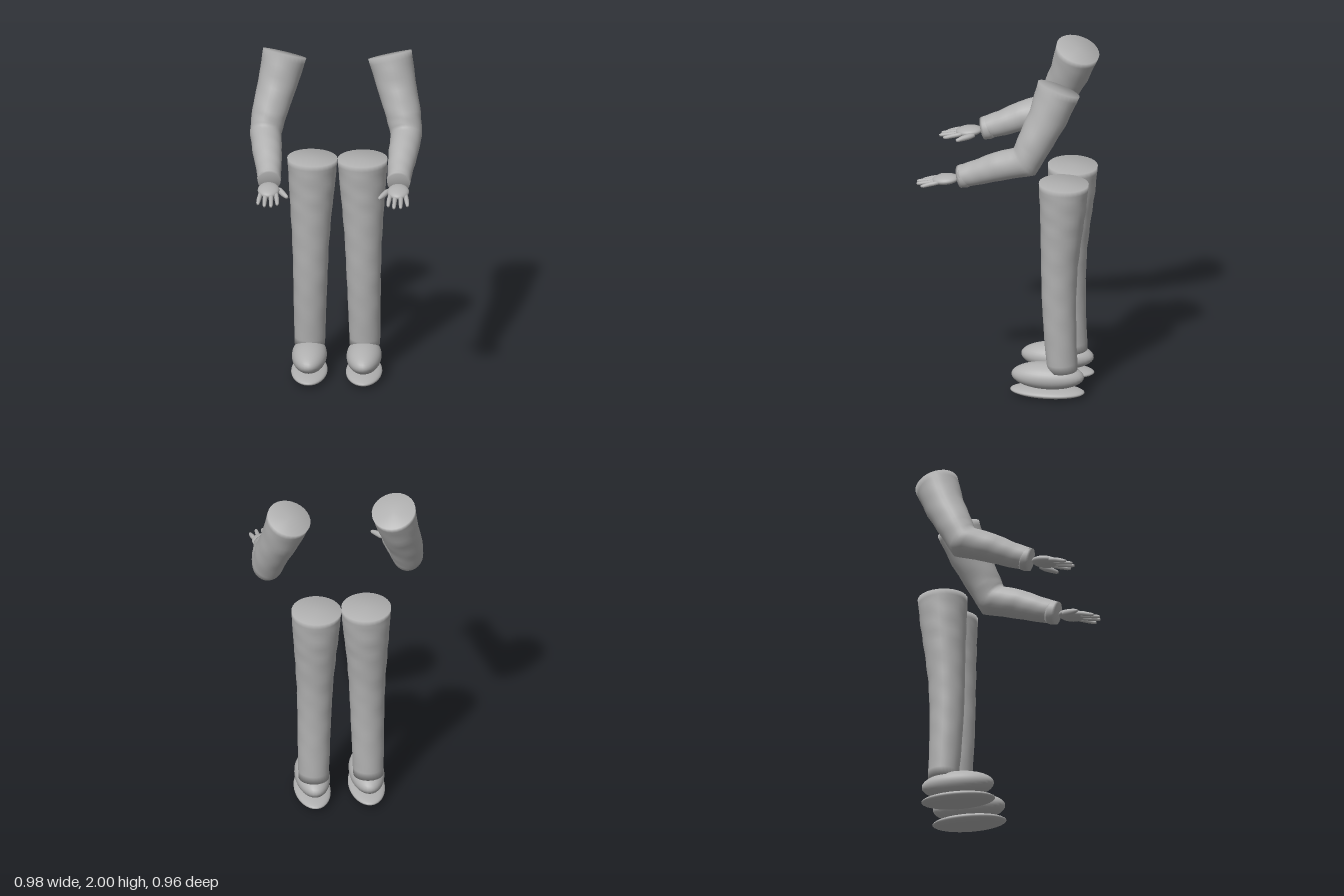
import * as THREE from 'three';

const grey = new THREE.MeshStandardMaterial({ color: 0xb0b0b0 });
grey.name = 'grey';

// Closed tube through [x, y, z, radius] points, mitred at bends; fold is the cloth unevenness
function limb(name, points, { sides = 28, steps = 5, fold = 0 } = {}) {
  const centres = points.map((p) => new THREE.Vector3(p[0], p[1], p[2]));
  const last = centres.length - 1;
  const frames = centres.map((c, i) => {
    const before = c.clone().sub(centres[Math.max(i - 1, 0)]).normalize();
    const after = centres[Math.min(i + 1, last)].clone().sub(c).normalize();
    const t = before.clone().add(after).normalize();
    const stretch = i > 0 && i < last ? 1 / before.dot(t) : 1;
    const ref = Math.abs(t.x) > 0.9 ? new THREE.Vector3(0, 1, 0) : new THREE.Vector3(1, 0, 0);
    const u = ref.addScaledVector(t, -ref.dot(t)).normalize();
    const v = t.clone().cross(u).multiplyScalar(stretch);
    return { u, v };
  });
  const rim = (i, a) => centres[i].clone()
    .addScaledVector(frames[i].u, Math.cos(a) * points[i][3])
    .addScaledVector(frames[i].v, Math.sin(a) * points[i][3]);

  const pos = [], index = [];
  const rings = last * steps + 1;
  for (let k = 0; k < rings; k++) {
    const i = Math.min(Math.floor(k / steps), last - 1);
    const f = k / steps - i;
    const mid = centres[i].clone().lerp(centres[i + 1], f);
    const ends = k === 0 || k === rings - 1 ? 0 : 1;
    for (let j = 0; j < sides; j++) {
      const a = (j / sides) * Math.PI * 2;
      const wave = Math.sin(2 * a + k * 0.9) * Math.sin(k * 0.7 + a) + 0.5 * Math.sin(3 * a - k * 1.3);
      const p = rim(i, a).lerp(rim(i + 1, a), f).sub(mid).multiplyScalar(1 + fold * wave * ends).add(mid);
      pos.push(p.x, p.y, p.z);
    }
  }
  const start = rings * sides;
  pos.push(...centres[0].toArray(), ...centres[last].toArray());
  for (let j = 0; j < sides; j++) {
    const n = (j + 1) % sides;
    for (let k = 0; k < rings - 1; k++) {
      const a = k * sides, b = a + sides;
      index.push(a + j, a + n, b + j, a + n, b + n, b + j);
    }
    const e = (rings - 1) * sides;
    index.push(start, n, j, start + 1, e + j, e + n);
  }
  const g = new THREE.BufferGeometry();
  g.setAttribute('position', new THREE.Float32BufferAttribute(pos, 3));
  g.setIndex(index);
  g.computeVertexNormals();
  const mesh = new THREE.Mesh(g, grey);
  mesh.name = name;
  return mesh;
}

function ellipsoid(name, centre, radii) {
  const mesh = new THREE.Mesh(new THREE.SphereGeometry(1, 32, 20).scale(...radii), grey);
  mesh.position.set(...centre);
  mesh.name = name;
  return mesh;
}

function makeArm(s) {
  const arm = new THREE.Group();
  arm.name = s > 0 ? 'leftArm' : 'rightArm';
  const side = (pts) => pts.map(([x, y, z, r]) => [x * s, y, z, r]);

  // Sleeve bent at the elbow
  arm.add(limb('sleeve', side([
    [0.3, 1.955, -0.335, 0.127], [0.34, 1.79, -0.277, 0.112], [0.383, 1.64, -0.205, 0.1],
    [0.402, 1.535, -0.155, 0.09], [0.388, 1.488, 0, 0.084], [0.375, 1.438, 0.12, 0.073],
    [0.37, 1.402, 0.225, 0.064],
  ]), { fold: 0.014 }));
  arm.add(limb('cuff', side([
    [0.371, 1.416, 0.18, 0.066], [0.37, 1.408, 0.2, 0.069], [0.369, 1.4, 0.23, 0.065],
  ]), { steps: 2 }));

  // Hand
  const palm = ellipsoid('palm', [0.37 * s, 1.38, 0.31], [0.062, 0.028, 0.077]);
  palm.rotation.x = 0.12;
  arm.add(palm);
  const fingers = [[0.325, 0.317, 0.448], [0.355, 0.351, 0.477], [0.386, 0.389, 0.472], [0.415, 0.426, 0.442]];
  for (const [x0, x1, z1] of fingers) {
    arm.add(limb('finger', side([
      [x0, 1.372, 0.345, 0.012], [(x0 + x1) / 2, 1.362, 0.39, 0.0135],
      [x1, 1.35, z1 - 0.015, 0.0105], [x1, 1.347, z1, 0.007],
    ]), { sides: 12, steps: 2 }));
  }
  arm.add(limb('thumb', side([
    [0.32, 1.373, 0.27, 0.01], [0.305, 1.37, 0.295, 0.017], [0.285, 1.364, 0.33, 0.016],
    [0.266, 1.358, 0.357, 0.011], [0.261, 1.357, 0.364, 0.007],
  ]), { sides: 12, steps: 2 }));
  return arm;
}

function makeLeg(s) {
  const leg = new THREE.Group();
  leg.name = s > 0 ? 'leftLeg' : 'rightLeg';
  const path = [
    [0.143, 1.308, -0.334, 0.143], [0.145, 1.15, -0.329, 0.132], [0.148, 1, -0.32, 0.119],
    [0.15, 0.8, -0.31, 0.105], [0.152, 0.6, -0.308, 0.098], [0.155, 0.4, -0.315, 0.093],
    [0.157, 0.165, -0.328, 0.087],
  ];
  leg.add(limb('trouserLeg', path.map(([x, y, z, r]) => [x * s, y, z, r]), { fold: 0.014 }));

  // Shoe
  leg.add(ellipsoid('shoe', [0.156 * s, 0.125, -0.243], [0.1, 0.077, 0.21]));
  leg.add(ellipsoid('sole', [0.156 * s, 0.031, -0.241], [0.104, 0.031, 0.215]));
  return leg;
}

export function createModel() {
  const model = new THREE.Group();
  model.name = 'limbs';
  for (const s of [1, -1]) model.add(makeArm(s), makeLeg(s));
  return model;
}
